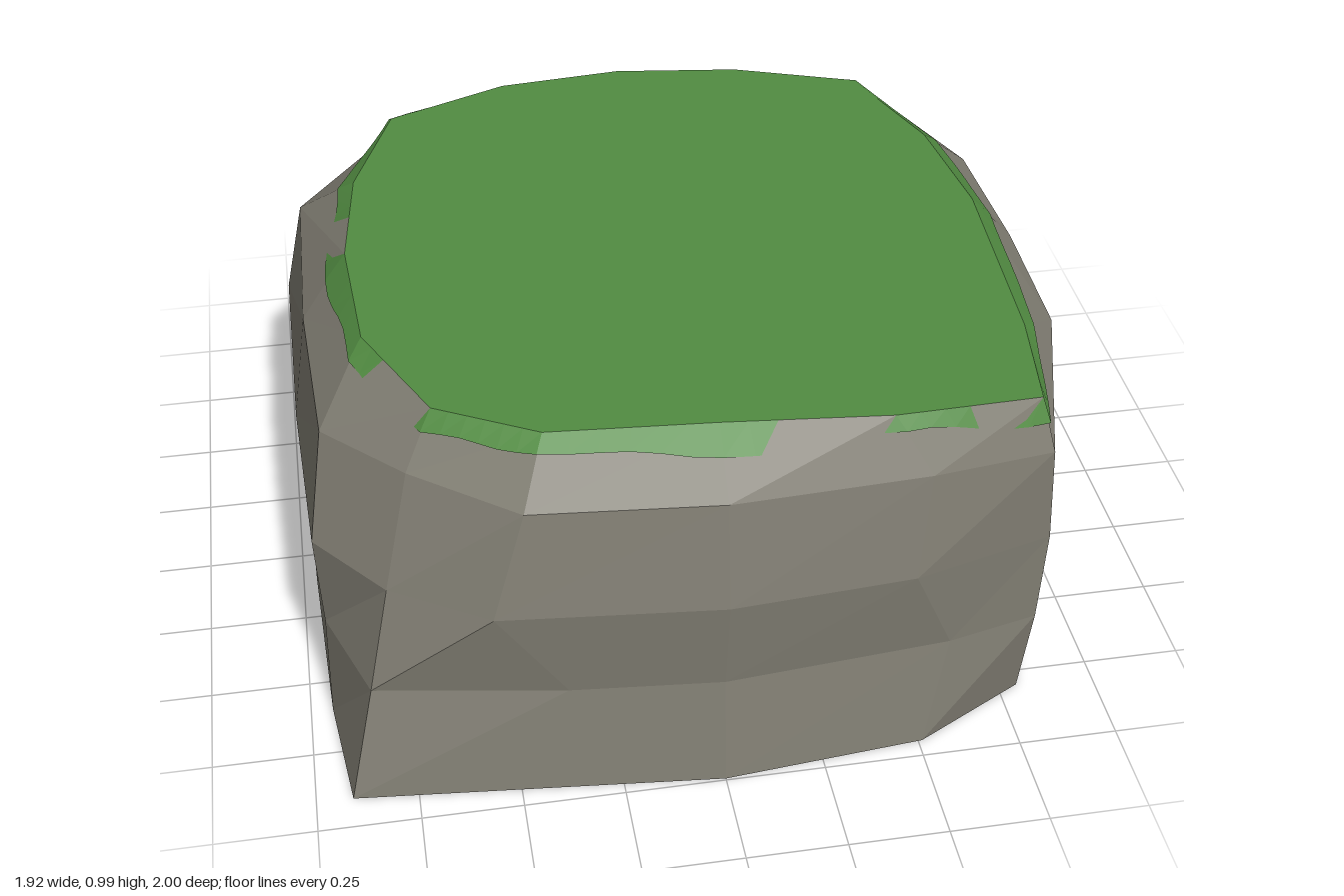
import * as THREE from 'three';

const SIDES = 16; // columns, clockwise from the back middle; every fourth, from 2, is a corner
const HEIGHTS = [0, 0.3, 0.57, 0.85, 0.985];

// Foot and top outlines as x, z
const FOOT = [0.01, -0.97, 0.4, -0.91, 0.86, -0.81, 0.94, -0.4, 0.955, 0, 0.95, 0.36, 0.8, 0.8, 0.51, 0.95,
  0, 0.995, -0.48, 0.95, -0.91, 0.91, -0.945, 0.6, -0.965, 0.1, -0.965, -0.49, -0.78, -0.77, -0.38, -0.94];
const TOP = [0.01, -0.8, 0.34, -0.755, 0.66, -0.64, 0.78, -0.32, 0.82, 0.01, 0.79, 0.57, 0.75, 0.85, 0.4, 0.86,
  0, 0.82, -0.4, 0.79, -0.64, 0.66, -0.78, 0.36, -0.8, 0, -0.76, -0.33, -0.64, -0.64, -0.32, -0.77];

// How far each wall (back, left, front, right) leans from foot to top at the middle heights
const LEAN = [[0, -0.18, 0.5], [0.03, -0.03, 0.12], [0.2, 0, 0.25], [0.05, 0, 0.28]];

// Corner x, z at the middle heights: back left, front left, front right, back right
const CORNERS = [
  [0.81, -0.8, 0.8, -0.77, 0.77, -0.73],
  [0.8, 0.86, 0.805, 0.87, 0.78, 0.89],
  [-0.84, 0.85, -0.78, 0.8, -0.71, 0.72],
  [-0.78, -0.78, -0.76, -0.76, -0.68, -0.74],
];
const FRONT_STAGGER = [-0.1, 0.07, 0]; // sideways shift of the front facets
const CORNER_HANG = [0.04, 0.45, 0.35, 0.04];

const at = (flat, i, y) => new THREE.Vector3(flat[2 * i], y, flat[2 * i + 1]);
const isCorner = (i) => i % 4 === 2;
const cornerOf = (i) => (i - 2) / 4;
const wallOf = (i) => Math.floor(((i + 2) % SIDES) / 4);

// One point of the rock wall
function wallPoint(i, level) {
  const y = HEIGHTS[level];
  if (level === 0) return at(FOOT, i, y);
  if (level === 4) return at(TOP, i, y);
  if (isCorner(i)) return at(CORNERS[cornerOf(i)], level - 1, y);
  const wall = wallOf(i);
  const point = at(FOOT, i, y).lerp(at(TOP, i, y), LEAN[wall][level - 1]);
  if (wall === 2 && i % 2 === 1) {
    const along = at(FOOT, i + 1, y).sub(at(FOOT, i - 1, y));
    point.addScaledVector(along, FRONT_STAGGER[level - 1]);
  }
  return point;
}

function facet(points) {
  const g = new THREE.BufferGeometry().setFromPoints(points);
  g.computeVertexNormals();
  return g;
}

// Closed strips of faceted quads between successive loops, lowest first
function loft(loops) {
  const points = [];
  for (let k = 0; k < loops.length - 1; k++) {
    const lo = loops[k], hi = loops[k + 1];
    for (let i = 0; i < lo.length; i++) {
      const j = (i + 1) % lo.length;
      points.push(lo[j], lo[i], hi[i], lo[j], hi[i], hi[j]);
    }
  }
  return facet(points);
}

// Share of the bevel that the grass covers at a column
const hangAt = (i) => (isCorner(i) ? CORNER_HANG[cornerOf(i)] : 0.33 + 0.08 * Math.cos(i * Math.PI));

export function createModel() {
  const rock = new THREE.MeshStandardMaterial({ color: 0x827f74 });
  const grass = new THREE.MeshStandardMaterial({ color: 0x528c42 });
  rock.name = 'rock grey';
  grass.name = 'grass green';
  for (const material of [rock, grass]) {
    material.flatShading = true;
    material.side = THREE.DoubleSide;
  }
  const model = new THREE.Group();
  model.name = 'grassyRock';
  const add = (name, geometry, material) => {
    const mesh = new THREE.Mesh(geometry, material);
    mesh.name = name;
    model.add(mesh);
  };

  // Rock wall, open underneath
  const loops = HEIGHTS.map((_, level) => Array.from({ length: SIDES }, (_, i) => wallPoint(i, level)));
  add('rockWall', loft(loops), rock);

  // Flat grass top
  const top = loops[4], shoulder = loops[3];
  const centre = new THREE.Vector3(0, HEIGHTS[4], 0);
  add('grassTop', facet(top.flatMap((p, i) => [centre, top[(i + 1) % SIDES], p])), grass);

  // Wavy grass fringe lying just over the bevel
  const steps = 6, upper = [], lower = [];
  for (let i = 0; i < SIDES; i++) {
    const j = (i + 1) % SIDES;
    for (let s = 0; s < steps; s++) {
      const f = s / steps;
      const edge = top[i].clone().lerp(top[j], f);
      const below = shoulder[i].clone().lerp(shoulder[j], f);
      const wave = 0.06 * Math.sin((i + f) * 4.3) * Math.sin(Math.PI * f);
      const hang = THREE.MathUtils.lerp(hangAt(i), hangAt(j), THREE.MathUtils.smoothstep(f, 0, 1)) + wave;
      const out = new THREE.Vector3(edge.x, 0, edge.z).setLength(0.006);
      lower.push(edge.clone().lerp(below, Math.max(hang, 0.02)).add(out));
      upper.push(edge);
    }
  }
  add('grassFringe', loft([lower, upper]), grass);
  return model;
}
